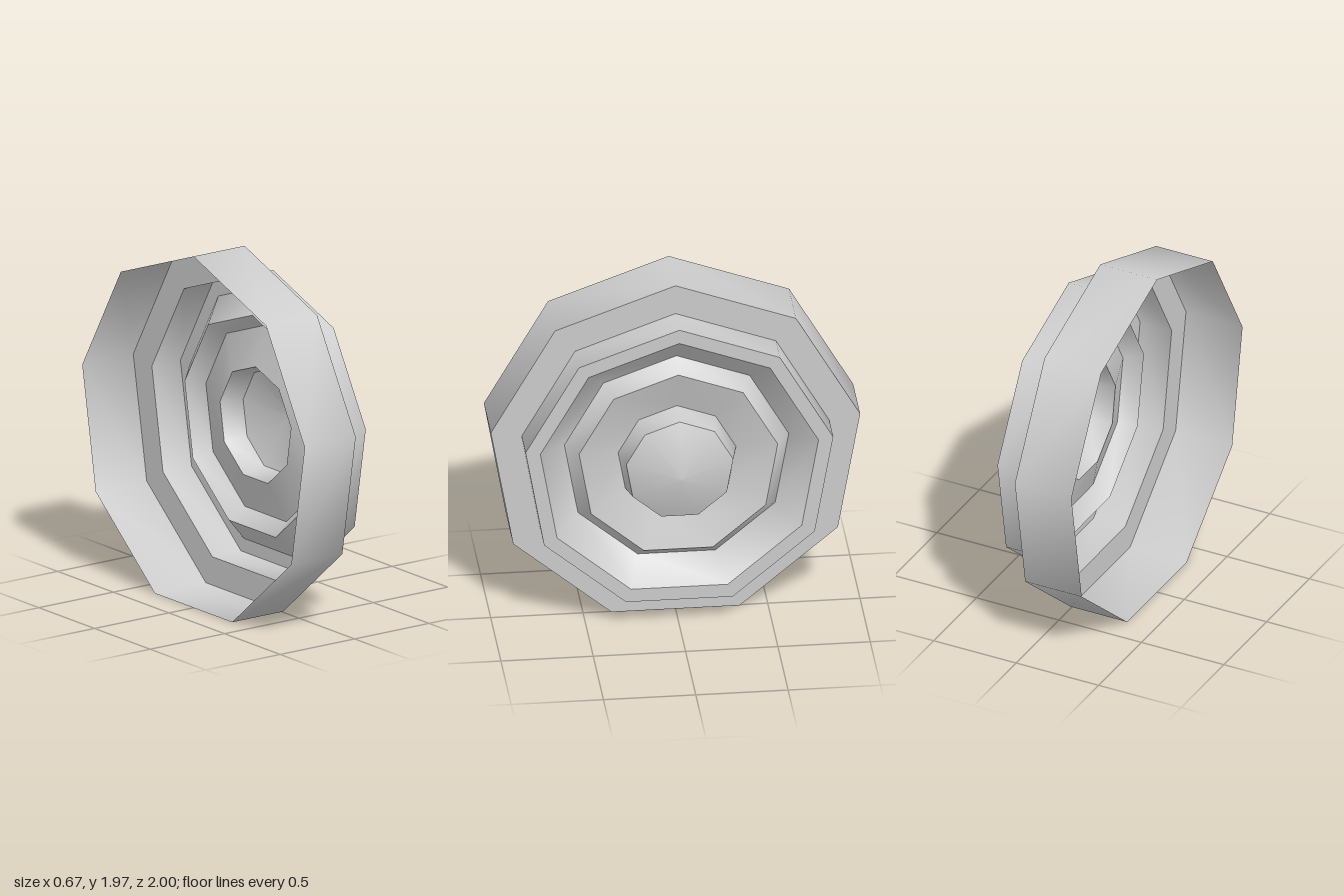
import * as THREE from 'three';
import { toCreasedNormals } from 'three/addons/utils/BufferGeometryUtils.js';

const SIDES = 9;
const AXIS_HEIGHT = 0.954;

// Each part is an open, thin ring turned around the x axis.
// Profile points are [x along the axis, radius], from back to front.
const PARTS = {
  outerRim: [[-0.335, 1.0154], [0.008, 1.0154], [0.008, 0.846]],
  frontCollar: [[0.008, 0.846], [0.2, 0.846], [0.2, 0.765]],
  outerDish: [[0.2, 0.765], [0.06, 0.617]],
  raisedRing: [[0.06, 0.617], [0.15, 0.546]],
  innerDish: [[0.15, 0.546], [0.082, 0.324]],
  hub: [[0.082, 0.324], [0.215, 0.294], [0.332, 0]],
};

function turnedPart(name, profile, material) {
  const points = profile.map(([x, r]) => new THREE.Vector2(r, x));
  // A corner of the nine-sided outline points straight up
  const turned = new THREE.LatheGeometry(points, SIDES, -Math.PI / 2);
  turned.rotateZ(-Math.PI / 2);
  // Smooth around the axis (40 degree facets), sharp between steps
  const mesh = new THREE.Mesh(toCreasedNormals(turned, 0.72), material);
  mesh.name = name;
  mesh.position.y = AXIS_HEIGHT;
  return mesh;
}

export function createModel() {
  const group = new THREE.Group();
  group.name = 'steppedDish';
  const material = new THREE.MeshStandardMaterial({ color: 0xcccccc, side: THREE.DoubleSide });
  for (const [name, profile] of Object.entries(PARTS)) {
    group.add(turnedPart(name, profile, material));
  }
  return group;
}
